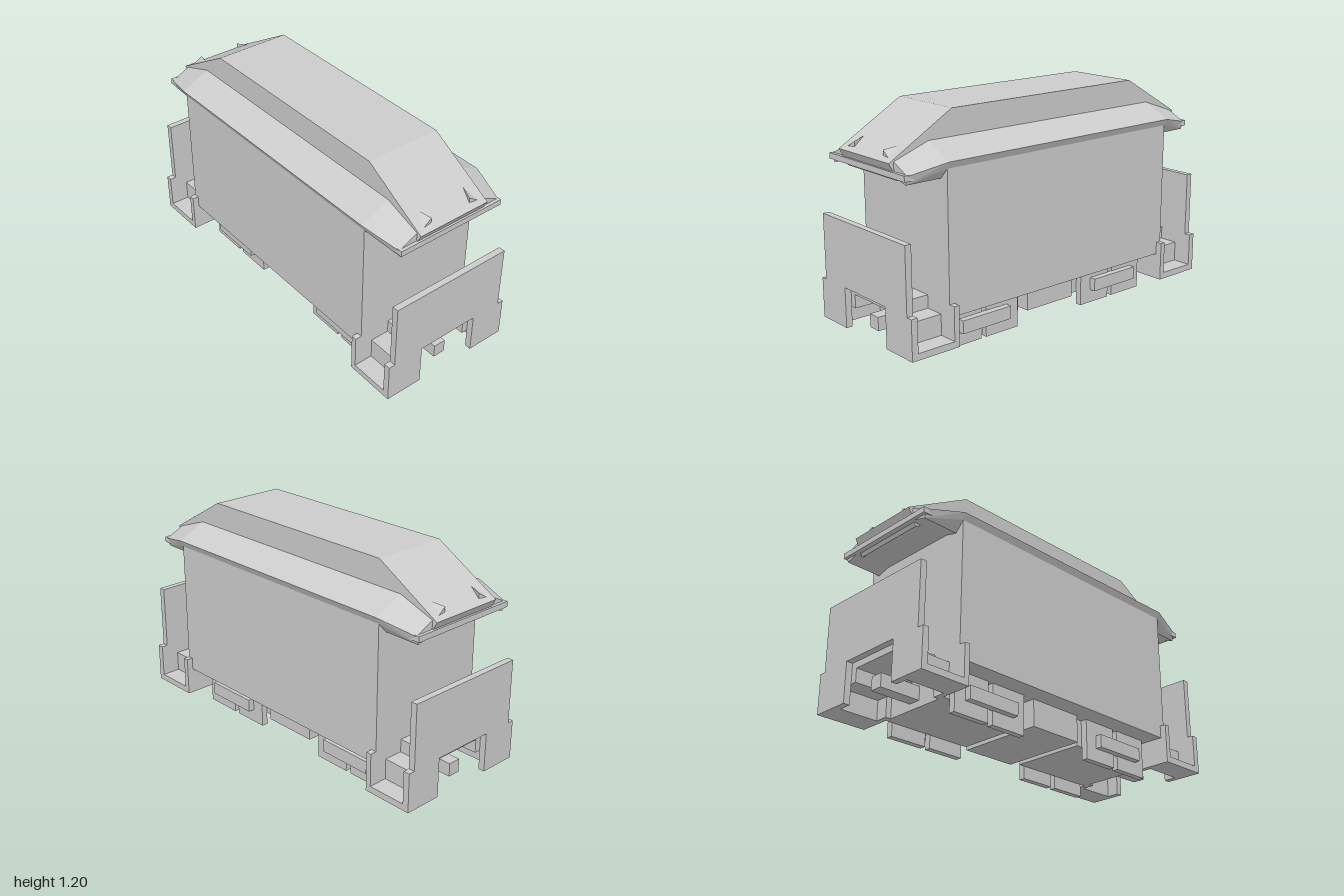
import * as THREE from 'three';
import { ConvexGeometry } from 'three/addons/geometries/ConvexGeometry.js';

export function createModel() {
  const model = new THREE.Group();
  const material = new THREE.MeshStandardMaterial({ color: 0xcccccc, flatShading: true });

  const add = (name, geometry) => {
    const mesh = new THREE.Mesh(geometry, material);
    mesh.name = name;
    model.add(mesh);
    return mesh;
  };
  // box given by its limits on each axis
  const box = (name, x0, x1, y0, y1, z0, z1) => {
    const g = new THREE.BoxGeometry(Math.abs(x1 - x0), y1 - y0, Math.abs(z1 - z0));
    g.translate((x0 + x1) / 2, (y0 + y1) / 2, (z0 + z1) / 2);
    return add(name, g);
  };
  const outline = (pts) => new THREE.Shape(pts.map(([x, y]) => new THREE.Vector2(x, y)));
  const hull = (name, pts) => add(name, new ConvexGeometry(pts.map((p) => new THREE.Vector3(...p))));

  // carriage body and central underfloor box
  box('body', -0.75, 0.75, 0.215, 0.98, -0.35, 0.35);
  box('underfloorBox', -0.16, 0.16, 0.07, 0.22, -0.245, 0.245);

  // raised centre roof, bent down over both ends
  const roof = new THREE.ExtrudeGeometry(outline([
    [-0.61, 1.197], [-0.977, 0.985], [-0.93, 0.895], [-0.72, 1.015],
    [0.72, 1.015], [0.93, 0.895], [0.977, 0.985], [0.61, 1.197],
  ]), { depth: 0.42, bevelEnabled: false });
  roof.translate(0, 0, -0.21);
  add('centreRoof', roof);

  // sloped side roofs with tapered, drooping corners
  const middle = [[1.06, 0.21], [0.985, 0.367], [0.95, 0.35], [0.95, 0.21]];
  const tip = [[0.99, 0.21], [0.94, 0.315], [0.895, 0.3], [0.92, 0.21]];
  for (const s of [-1, 1]) {
    const pts = [];
    for (const e of [-1, 1]) {
      middle.forEach(([y, z]) => pts.push([e * 0.75, y, s * z]));
      tip.forEach(([y, z]) => pts.push([e * 0.95, y, s * z]));
    }
    hull('sideRoof', pts);
  }

  // end wall: wide foot, narrower top, opening for the coupler
  const wallShape = outline([
    [-0.385, 0.07], [-0.175, 0.07], [-0.175, 0.285], [0.175, 0.285], [0.175, 0.07], [0.385, 0.07],
    [0.385, 0.283], [0.35, 0.283], [0.35, 0.633], [-0.35, 0.633], [-0.35, 0.283], [-0.385, 0.283],
  ]);

  for (const e of [-1, 1]) {
    box('canopyPlate', e * 0.74, e * 0.967, 0.915, 0.945, -0.315, 0.315);

    const wall = new THREE.ExtrudeGeometry(wallShape, { depth: 0.035, bevelEnabled: false });
    wall.rotateY(Math.PI / 2);
    wall.translate(e > 0 ? 0.965 : -1, 0, 0);
    add('endWall', wall);

    // entrance platform and coupler
    box('platform', e * 0.75, e * 0.965, 0.25, 0.285, -0.175, 0.175);
    box('coupler', e * 0.7, e * 0.95, 0.105, 0.177, -0.035, 0.035);

    // bogie
    box('bogieFrame', e * 0.195, e * 0.72, 0.07, 0.22, -0.21, 0.21);

    for (const s of [-1, 1]) {
      // folded steps up from the side
      box('stepSide', e * 0.72, e * 0.75, 0.07, 0.283, s * 0.175, s * 0.385);
      box('lowerStep', e * 0.75, e * 0.965, 0.07, 0.105, s * 0.245, s * 0.385);
      box('lowerRiser', e * 0.75, e * 0.965, 0.105, 0.177, s * 0.245, s * 0.28);
      box('upperStep', e * 0.75, e * 0.965, 0.177, 0.215, s * 0.14, s * 0.28);
      box('upperRiser', e * 0.75, e * 0.965, 0.215, 0.25, s * 0.14, s * 0.175);

      // square wheels and axle bar
      box('wheel', e * 0.23, e * 0.44, 0, 0.22, s * 0.21, s * 0.245);
      box('wheel', e * 0.47, e * 0.682, 0, 0.22, s * 0.21, s * 0.245);
      box('axleBar', e * 0.303, e * 0.615, 0.073, 0.143, s * 0.24, s * 0.28);

      // small pointed lamp on the roof slope
      hull('roofLamp', [
        [e * 0.87, 1.045, s * 0.145], [e * 0.945, 1.03, s * 0.12],
        [e * 0.945, 1.0, s * 0.12], [e * 0.95, 1.0, s * 0.17],
      ]);
    }
  }
  return model;
}
